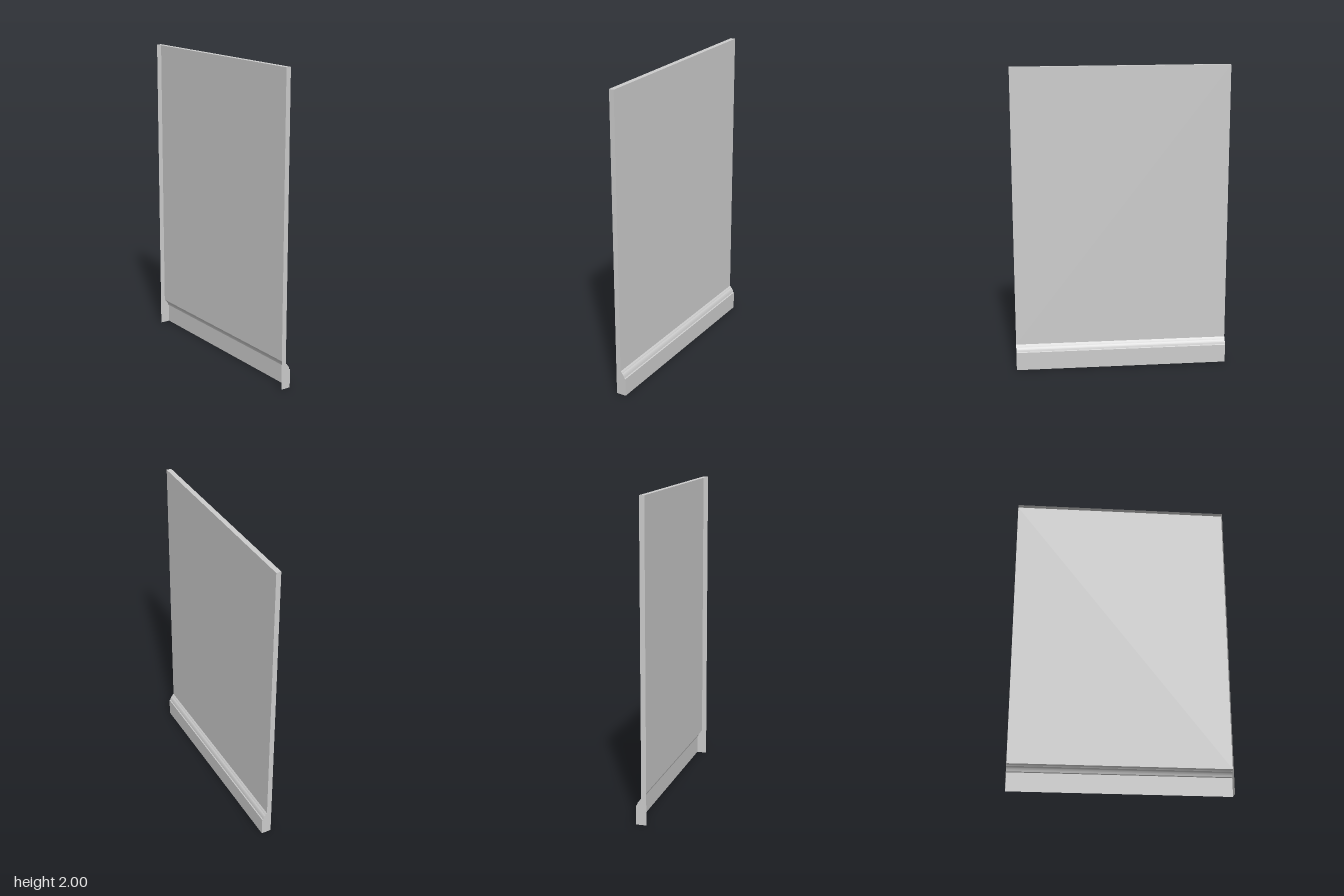
import * as THREE from 'three';
import { toCreasedNormals } from 'three/addons/utils/BufferGeometryUtils.js';

const WIDTH = 1.4, HEIGHT = 2, FRONT = 0.033, BACK = -0.033, FACE = 0.001;

export function createModel() {
  const group = new THREE.Group();
  const material = new THREE.MeshStandardMaterial({ color: 0xcccccc, side: THREE.DoubleSide });

  const add = (name, geometry) => {
    const mesh = new THREE.Mesh(geometry, material);
    mesh.name = name;
    group.add(mesh);
  };

  // Sweeps a [z, y] profile across the full width, outside facing back or up
  const strip = (name, profile) => {
    const geo = new THREE.PlaneGeometry(WIDTH, 1, 1, profile.length - 1).rotateY(Math.PI);
    const pos = geo.attributes.position;
    for (let i = 0; i < pos.count; i++) {
      const [z, y] = profile[Math.floor(i / 2)];
      pos.setXYZ(i, pos.getX(i), y, z);
    }
    add(name, toCreasedNormals(geo, 0.5));
  };

  // Skirting moulding: small step, rounded bead, then the flat board
  const bead = new THREE.QuadraticBezierCurve(
    new THREE.Vector2(-0.010, 0.155), new THREE.Vector2(-0.022, 0.148), new THREE.Vector2(-0.027, 0.125)
  ).getPoints(8).map(p => [p.x, p.y]);
  const moulding = [[FACE, 0.168], [-0.006, 0.163], ...bead, [BACK, 0.121]];

  strip('topEdge', [[FRONT, HEIGHT], [FACE, HEIGHT]]);
  strip('wallPanel', [[FACE, HEIGHT], [FACE, 0.168]]);
  strip('skirtingMoulding', moulding);
  strip('skirtingBoard', [[BACK, 0.121], [BACK, 0]]);

  // End caps follow the same profile; the front and bottom stay open
  const outline = [[FRONT, 0], [FRONT, HEIGHT], [FACE, HEIGHT], ...moulding, [BACK, 0]];
  const capShape = new THREE.Shape(outline.map(([z, y]) => new THREE.Vector2(z, y)));
  for (const [name, side] of [['leftEnd', 1], ['rightEnd', -1]]) {
    add(name, new THREE.ShapeGeometry(capShape).rotateY(-Math.PI / 2).translate(side * WIDTH / 2, 0, 0));
  }

  return group;
}
